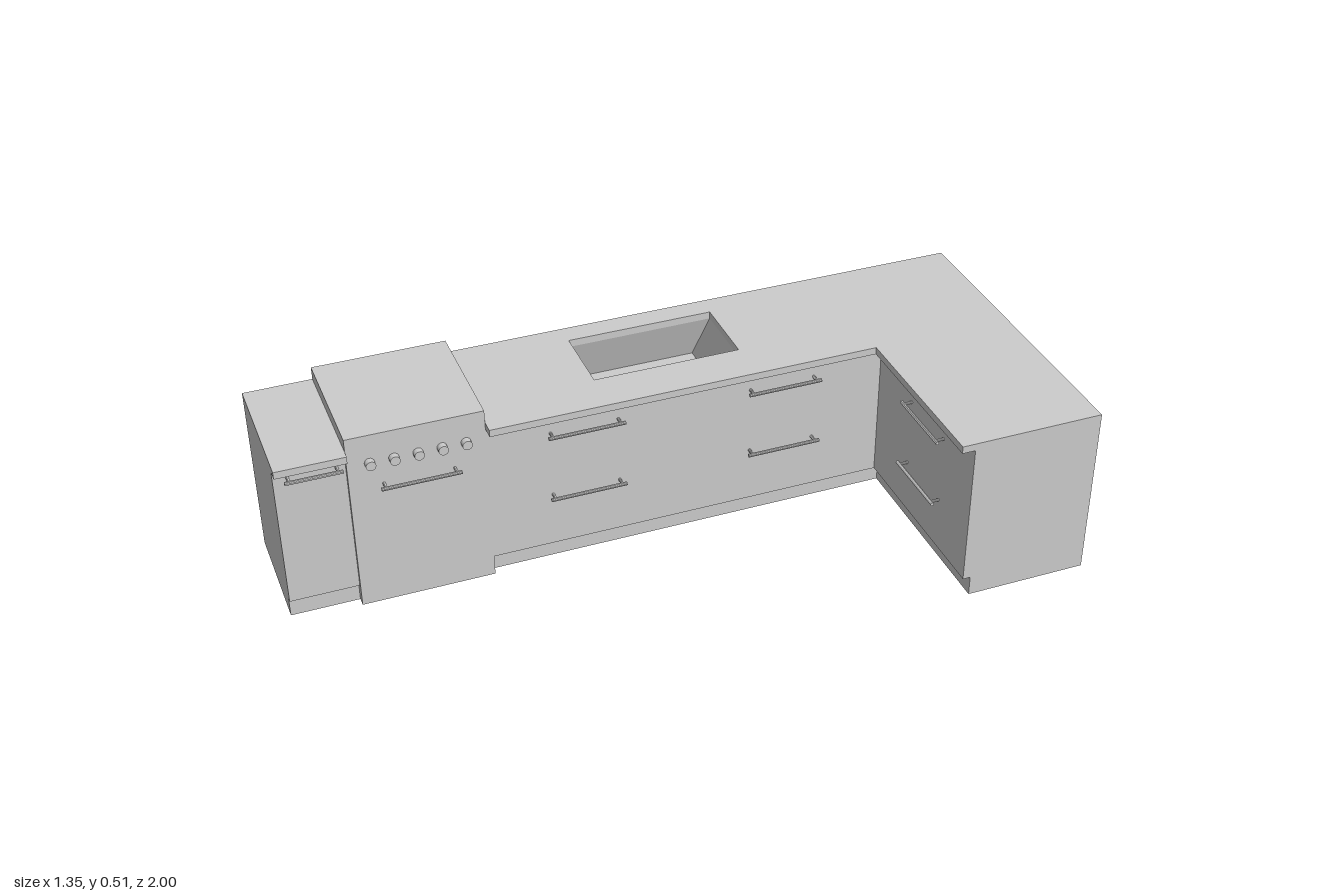
import * as THREE from 'three';

const GREY = new THREE.MeshStandardMaterial({ color: 0xcccccc, side: THREE.DoubleSide, flatShading: true });

export function createModel() {
  const model = new THREE.Group();
  model.name = 'cornerKitchen';
  // Local frame: the outer corner is the origin, x runs along the short leg, z along the long leg
  const kitchen = new THREE.Group();
  kitchen.name = 'kitchen';
  kitchen.rotation.y = -Math.PI / 12;
  kitchen.position.set(-0.167, 0, -1);
  model.add(kitchen);

  const add = (name, geometry, parent = kitchen) => {
    const mesh = new THREE.Mesh(geometry, GREY);
    mesh.name = name;
    parent.add(mesh);
    return mesh;
  };
  // Box given by its ranges on the three axes
  const box = (name, [x0, x1], [y0, y1], [z0, z1]) =>
    add(name, new THREE.BoxGeometry(x1 - x0, y1 - y0, z1 - z0))
      .position.set((x0 + x1) / 2, (y0 + y1) / 2, (z0 + z1) / 2);
  // Skin between two outlines of equal length
  const skin = (name, lower, upper, closed = false) => {
    const pos = [], n = lower.length;
    for (let i = 0; i < (closed ? n : n - 1); i++) {
      const j = (i + 1) % n;
      pos.push(...lower[i], ...lower[j], ...upper[j], ...lower[i], ...upper[j], ...upper[i]);
    }
    const g = new THREE.BufferGeometry();
    g.setAttribute('position', new THREE.Float32BufferAttribute(pos, 3));
    g.computeVertexNormals();
    return add(name, g);
  };
  // Thin upright wall along a plan path
  const wall = (name, path, y0, y1) =>
    skin(name, path.map(([x, z]) => [x, y0, z]), path.map(([x, z]) => [x, y1, z]));

  const W = 0.874, L = 1.971, TOP = 0.475, UNDER = 0.455, KICK = 0.055;
  const STOVE0 = 1.438, STOVE1 = 1.791;

  // Outer walls, open underneath
  wall('outerWalls', [[W, 0.33], [W, 0], [0, 0], [0, L], [0.325, L]], 0, UNDER + 0.001);

  // L-shaped worktop with the sink opening
  const top = new THREE.Shape([[0, 0], [W, 0], [W, 0.387], [0.387, 0.387], [0.387, STOVE0], [0, STOVE0]]
    .map(([x, z]) => new THREE.Vector2(x, z)));
  const rim = [[0.062, 0.725], [0.265, 0.725], [0.265, 1.123], [0.062, 1.123]];
  top.holes.push(new THREE.Path(rim.map(([x, z]) => new THREE.Vector2(x, z))));
  add('worktop', new THREE.ExtrudeGeometry(top, { depth: TOP - UNDER, bevelEnabled: false })
    .rotateX(Math.PI / 2).translate(0, TOP, 0));

  // Sink basin with sloping ends, floor and drain
  const floorY = 0.33;
  const base = [[0.022, 0.76], [0.305, 0.76], [0.305, 1.086], [0.022, 1.086]];
  skin('sinkBasin', base.map(([x, z]) => [x, floorY, z]), rim.map(([x, z]) => [x, UNDER, z]), true);
  box('sinkFloor', [0.022, 0.305], [floorY - 0.004, floorY], [0.76, 1.086]);
  add('sinkDrain', new THREE.CylinderGeometry(0.018, 0.018, 0.004, 24)).position.set(0.122, floorY, 0.923);

  // Cabinet fronts and recessed toe kicks
  box('longFront', [0.327, 0.348], [KICK, UNDER], [0.33, STOVE0]);
  box('shortFront', [0.327, W], [KICK, UNDER], [0.33, 0.351]);
  wall('toeKick', [[W, 0.33], [0.327, 0.33], [0.327, STOVE0]], 0, KICK);

  // Stove: raised top and full-height front
  box('stoveTop', [0, 0.35], [UNDER, 0.51], [STOVE0, STOVE1]);
  box('stoveFront', [0.325, 0.35], [0, UNDER], [STOVE0, STOVE1]);
  for (let i = 0; i < 5; i++) {
    add('stoveKnob', new THREE.CylinderGeometry(0.013, 0.013, 0.02, 16).rotateZ(Math.PI / 2))
      .position.set(0.358, 0.43, 1.49 + i * 0.061);
  }

  // End cabinet
  box('endWorktop', [0, 0.371], [UNDER, TOP], [STOVE1, L]);
  box('endDoor', [0.325, 0.339], [KICK, UNDER], [STOVE1, L]);
  wall('endToeKick', [[0.325, STOVE1], [0.325, L]], 0, KICK);

  // Bar handle on two posts, standing out towards its own +x
  const handle = (x, y, z, length, turn = 0) => {
    const group = new THREE.Group();
    group.name = 'handle';
    add('handleBar', new THREE.CylinderGeometry(0.005, 0.005, length, 10).rotateX(Math.PI / 2), group)
      .position.x = 0.024;
    for (const s of [-1, 1]) {
      add('handlePost', new THREE.CylinderGeometry(0.004, 0.004, 0.026, 10).rotateZ(Math.PI / 2), group)
        .position.set(0.011, 0, s * (length / 2 - 0.012));
    }
    group.position.set(x, y, z);
    group.rotation.y = turn;
    kitchen.add(group);
  };
  for (const y of [0.4, 0.21]) {
    handle(0.348, y, 1.18, 0.205);
    handle(0.348, y, 0.635, 0.203);
    handle(0.626, y - 0.012, 0.351, 0.203, -Math.PI / 2);
  }
  handle(0.35, 0.36, 1.613, 0.205);
  handle(0.339, 0.43, 1.874, 0.145);

  return model;
}
